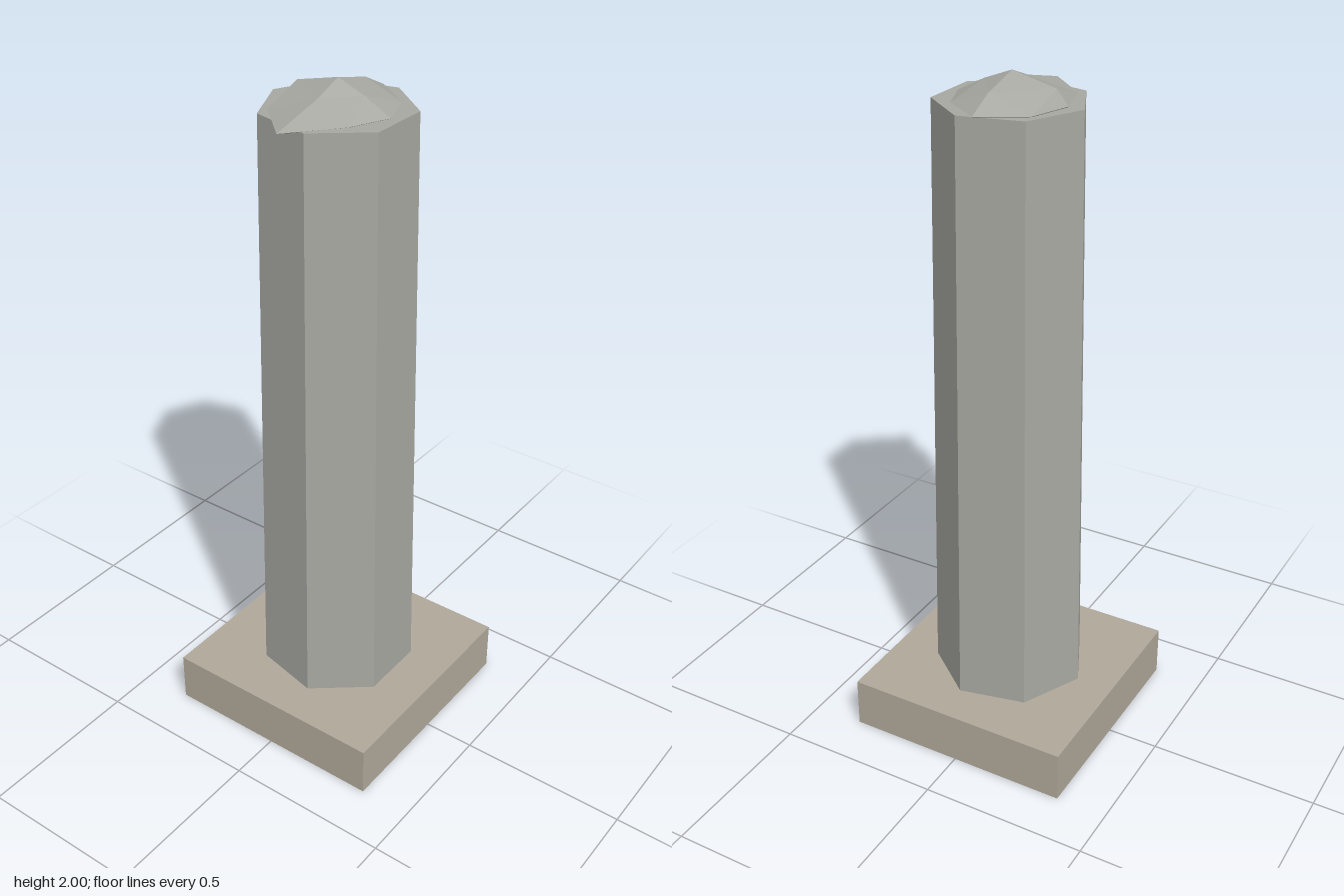
import * as THREE from 'three';

const BASE_H = 0.155, SHAFT_TOP = 1.925;

// Hollow plinth: a thin box shell with its underside left open
function makePlinth() {
  const geo = new THREE.BoxGeometry(0.694, BASE_H, 0.694);
  const index = Array.from(geo.index.array);
  index.splice(18, 6); // drop the bottom face
  geo.setIndex(index);
  geo.clearGroups();
  geo.translate(0, BASE_H / 2, 0);
  const mesh = new THREE.Mesh(geo, new THREE.MeshStandardMaterial({
    color: 0xb0a89a, flatShading: true, side: THREE.DoubleSide }));
  mesh.name = 'plinth';
  return mesh;
}

// Tapered seven-sided shaft with one edge pointing straight back
function makeShaft(material) {
  const h = SHAFT_TOP - BASE_H;
  const geo = new THREE.CylinderGeometry(0.21, 0.233, h, 7, 1, false, Math.PI);
  geo.translate(0, BASE_H + h / 2, 0);
  const mesh = new THREE.Mesh(geo, material);
  mesh.name = 'shaft';
  return mesh;
}

// Rough stone top: a flattened, once-divided octahedron with uneven radii
function makeRoughTop(material) {
  // radii by eighth of a turn, starting at +x and going towards +z
  const rim = [0.2, 0.163, 0.162, 0.16, 0.25, 0.18, 0.165, 0.18];
  const shoulder = [0.12, 0, 0.083, 0, 0.085, 0, 0.13, 0];
  const geo = new THREE.OctahedronGeometry(1, 1);
  const pos = geo.attributes.position;
  for (let i = 0; i < pos.count; i++) {
    const x = pos.getX(i), y = pos.getY(i), z = pos.getZ(i);
    const flat = Math.hypot(x, z);
    if (flat < 0.01) { // tip above and below
      pos.setXYZ(i, 0, SHAFT_TOP + 0.075 * Math.sign(y), 0);
      continue;
    }
    const k = (Math.round(Math.atan2(z, x) / (Math.PI / 4)) + 8) % 8;
    const onRim = Math.abs(y) < 0.01;
    const r = (onRim ? rim : shoulder)[k];
    pos.setXYZ(i, x / flat * r,
      SHAFT_TOP + (onRim ? 0.002 : 0.043 * Math.sign(y)), z / flat * r);
  }
  geo.computeVertexNormals();
  const mesh = new THREE.Mesh(geo, material);
  mesh.name = 'roughTop';
  return mesh;
}

export function createModel() {
  const group = new THREE.Group();
  group.name = 'stonePillar';
  const stone = new THREE.MeshStandardMaterial({ color: 0xa8a8a2, flatShading: true });
  group.add(makePlinth(), makeShaft(stone), makeRoughTop(stone));
  return group;
}
